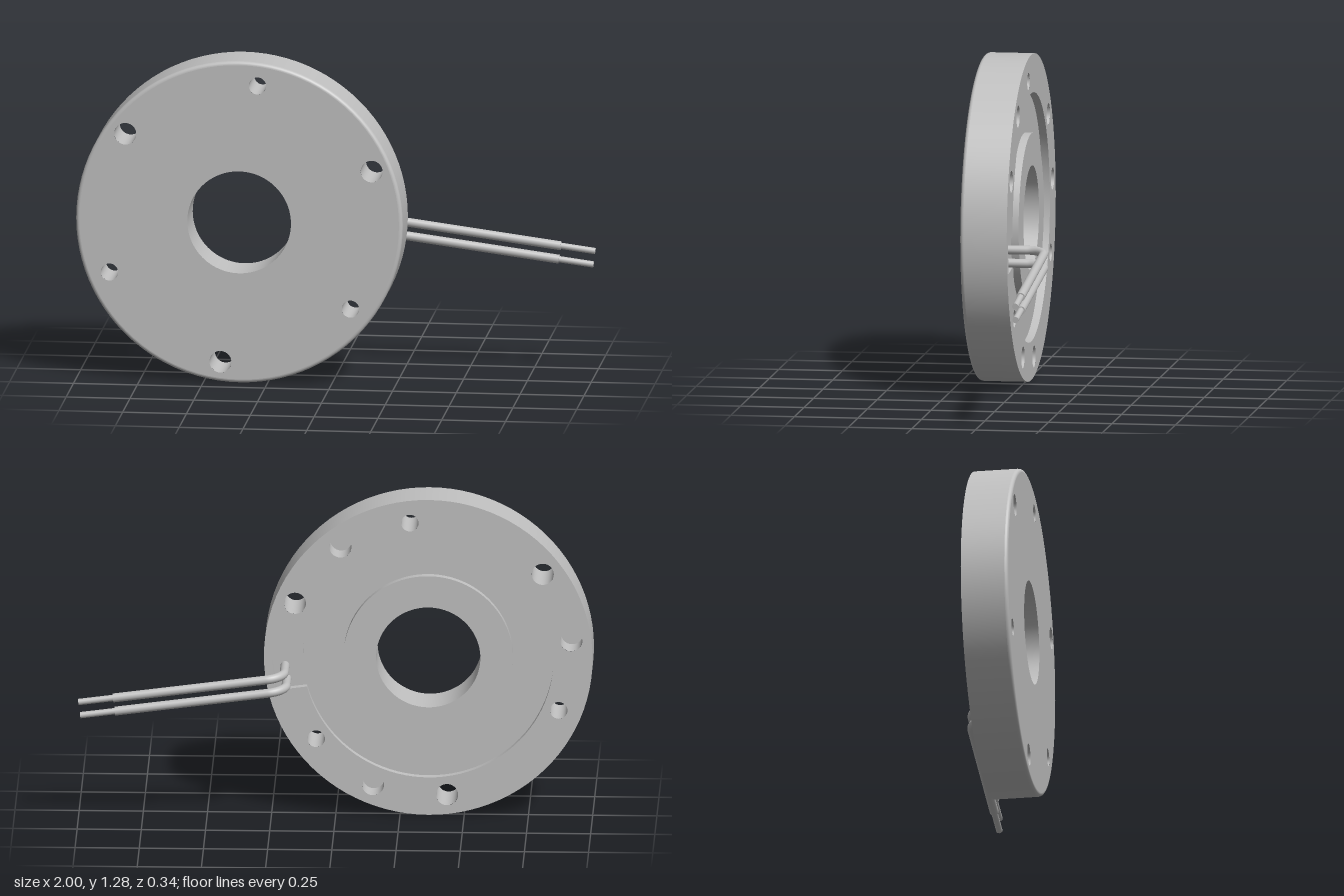
import * as THREE from 'three';
import { toCreasedNormals } from 'three/addons/utils/BufferGeometryUtils.js';

const BACK = -0.015, FRONT = 0.17, FLOOR = 0.015, BLIND = 0.08;
const R = 0.64, BORE = 0.203, HUB = 0.33, RECESS = 0.488, FILLET = 0.014;
const deg = Math.PI / 180, WIRE_ANGLE = -7.5 * deg;

// Turn a surface inside out
function flip(g) {
  const ix = g.index.array, n = g.attributes.normal.array;
  for (let i = 0; i < ix.length; i += 3) [ix[i], ix[i + 1]] = [ix[i + 1], ix[i]];
  for (let i = 0; i < n.length; i++) n[i] = -n[i];
  return g;
}

function circle(r, x = 0, y = 0) {
  return new THREE.Shape().absarc(x, y, r, 0, Math.PI * 2, false);
}

// Round wall along z, facing outward or inward
function roundWall(r, z0, z1, inward, x = 0, y = 0) {
  const g = new THREE.CylinderGeometry(r, r, z1 - z0, r > 0.1 ? 96 : 32, 1, true);
  g.rotateX(Math.PI / 2).translate(x, y, (z0 + z1) / 2);
  return inward ? flip(g) : g;
}

// Flat face at height z, facing front or back
function face(shape, holes, z, back) {
  const s = shape.clone();
  s.holes = holes;
  const g = new THREE.ShapeGeometry(s, 48).translate(0, 0, z);
  return back ? flip(g) : g;
}

// Recess outline: a circle with a radial notch for the wires
function recessOutline() {
  const half = 0.06, d = Math.asin(half / RECESS), end = 0.605;
  const at = (u, v) => new THREE.Vector2(u, v).rotateAround(new THREE.Vector2(), WIRE_ANGLE);
  const s = new THREE.Shape();
  s.absarc(0, 0, RECESS, WIRE_ANGLE + d, WIRE_ANGLE - d + Math.PI * 2, false);
  for (const p of [at(end, -half), at(end, half)]) s.lineTo(p.x, p.y);
  s.closePath();
  return s;
}

// Inward-facing wall that follows an outline
function outlineWall(shape, z0, z1) {
  const pts = shape.getPoints(48), pos = [];
  pts.forEach((p, i) => {
    const q = pts[(i + 1) % pts.length];
    if (p.distanceTo(q) < 1e-6) return;
    pos.push(p.x, p.y, z0, p.x, p.y, z1, q.x, q.y, z0);
    pos.push(q.x, q.y, z0, p.x, p.y, z1, q.x, q.y, z1);
  });
  const g = new THREE.BufferGeometry();
  g.setAttribute('position', new THREE.Float32BufferAttribute(pos, 3));
  return toCreasedNormals(g, 0.6);
}

export function createModel() {
  const model = new THREE.Group();
  const grey = new THREE.MeshStandardMaterial({ color: 0xc0c0c0 });
  grey.name = 'grey metal';
  const add = (parent, name, geometry) => {
    const m = new THREE.Mesh(geometry, grey);
    m.name = name;
    parent.add(m);
    return m;
  };

  const disc = new THREE.Group();
  disc.name = 'disc';
  disc.position.set(-0.36, 0.643, 0);
  model.add(disc);

  // Bolt holes: three large and three small go through, three are blind
  const bolts = [];
  for (let k = 0; k < 3; k++) {
    for (const [angle, dist, r, through] of [
      [22.5, 0.562, 0.043, true], [82.5, 0.55, 0.034, true], [52.5, 0.562, 0.043, false]]) {
      const a = (angle + 120 * k) * deg;
      bolts.push({ x: dist * Math.cos(a), y: dist * Math.sin(a), r, through });
    }
  }
  const boltPath = b => circle(b.r, b.x, b.y);
  for (const b of bolts) {
    add(disc, b.through ? 'throughHole' : 'blindHole',
      roundWall(b.r, BACK, b.through ? FRONT : BLIND, true, b.x, b.y));
    if (!b.through) add(disc, 'blindHoleFloor', face(boltPath(b), [], BLIND, true));
  }

  // Outer rim with a rounded front edge
  add(disc, 'rim', roundWall(R, BACK, FRONT - FILLET, false));
  const profile = [];
  for (let i = 0; i <= 6; i++) {
    const a = i / 6 * Math.PI / 2;
    profile.push(new THREE.Vector2(R - FILLET + FILLET * Math.cos(a), FRONT - FILLET + FILLET * Math.sin(a)));
  }
  add(disc, 'roundedEdge', new THREE.LatheGeometry(profile, 96).rotateX(Math.PI / 2));

  // Faces
  const outline = recessOutline();
  add(disc, 'frontFace', face(circle(R - FILLET),
    [circle(BORE), ...bolts.filter(b => b.through).map(boltPath)], FRONT, false));
  add(disc, 'backRing', face(circle(R), [outline, ...bolts.map(boltPath)], BACK, true));
  add(disc, 'recessFloor', face(outline, [circle(HUB)], FLOOR, true));
  add(disc, 'hubFace', face(circle(HUB), [circle(BORE)], BACK, true));

  // Inner walls
  add(disc, 'recessWall', outlineWall(outline, BACK, FLOOR));
  add(disc, 'hubWall', roundWall(HUB, BACK, FLOOR, false));
  add(disc, 'bore', roundWall(BORE, BACK, FRONT, true));

  // Two bent wires with thinner bare ends
  const wires = new THREE.Group();
  wires.name = 'wires';
  wires.rotation.z = WIRE_ANGLE;
  disc.add(wires);
  const u0 = 0.56, zOut = -0.157, bend = 0.07, sleeveEnd = 1.23, tip = 1.366, k = bend * 0.45;
  for (const v of [0.027, -0.027]) {
    const P = (u, z) => new THREE.Vector3(u, v, z);
    const path = new THREE.CurvePath();
    path.add(new THREE.LineCurve3(P(u0, FLOOR), P(u0, zOut + bend)));
    path.add(new THREE.CubicBezierCurve3(P(u0, zOut + bend), P(u0, zOut + k), P(u0 + k, zOut), P(u0 + bend, zOut)));
    path.add(new THREE.LineCurve3(P(u0 + bend, zOut), P(sleeveEnd, zOut)));
    add(wires, 'wireSleeve', new THREE.TubeGeometry(path, 100, 0.0175, 20));
    add(wires, 'sleeveEnd', new THREE.CircleGeometry(0.0175, 20).rotateY(Math.PI / 2).translate(sleeveEnd, v, zOut));
    add(wires, 'bareWire', new THREE.CylinderGeometry(0.0125, 0.0125, tip - sleeveEnd, 20)
      .rotateZ(-Math.PI / 2).translate((tip + sleeveEnd) / 2, v, zOut));
  }
  return model;
}
